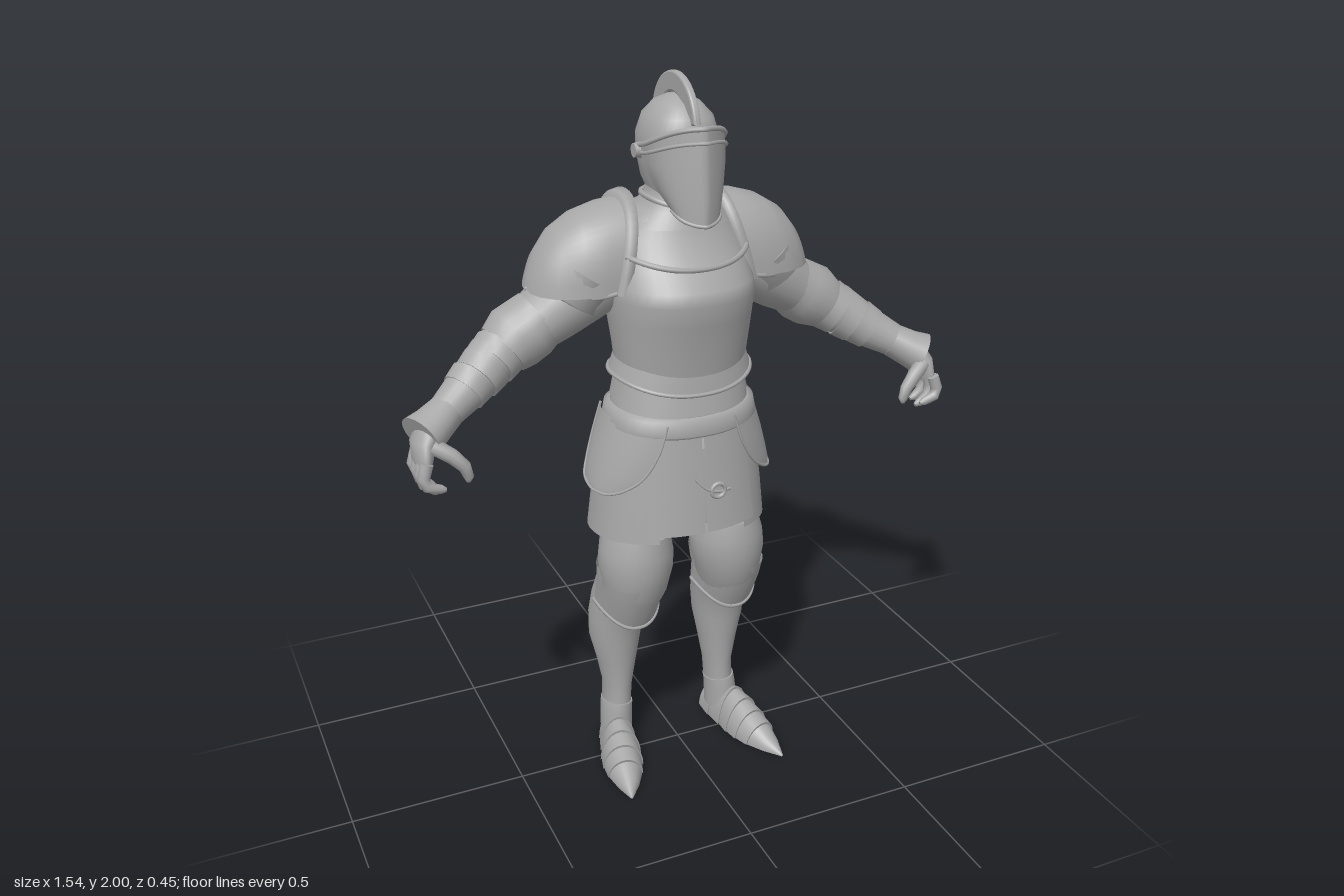
import * as THREE from 'three';

const steel = new THREE.MeshStandardMaterial({ color: 0xa8a8a8, side: THREE.DoubleSide });
steel.name = 'steel';
const V = (x, y, z) => new THREE.Vector3(x, y, z);
const rad = (d) => d * Math.PI / 180;
const pow = (v, p) => Math.sign(v) * Math.abs(v) ** p;

function add(group, name, geometry) {
  const mesh = new THREE.Mesh(geometry, steel);
  mesh.name = name;
  group.add(mesh);
  return mesh;
}

// Skin over rings of equal point count; closed rings wrap, caps get their own vertices.
function loft(rings, closed = true, cap = false) {
  const n = rings[0].length, pos = [], idx = [];
  rings.forEach((r) => r.forEach((p) => pos.push(p.x, p.y, p.z)));
  for (let i = 0; i < rings.length - 1; i++) {
    for (let j = 0; j < (closed ? n : n - 1); j++) {
      const k = (j + 1) % n, a = i * n + j, b = i * n + k;
      idx.push(a, b, b + n, a, b + n, a + n);
    }
  }
  if (cap) [rings[0], rings[rings.length - 1]].forEach((r, end) => {
    const s = pos.length / 3, c = V(0, 0, 0);
    r.forEach((p) => { c.addScaledVector(p, 1 / n); pos.push(p.x, p.y, p.z); });
    pos.push(c.x, c.y, c.z);
    for (let j = 0; j < n; j++) {
      const k = (j + 1) % n;
      if (end) idx.push(s + j, s + k, s + n); else idx.push(s + k, s + j, s + n);
    }
  });
  const g = new THREE.BufferGeometry();
  g.setAttribute('position', new THREE.Float32BufferAttribute(pos, 3));
  g.setIndex(idx);
  g.computeVertexNormals();
  return g;
}

// Horizontal oval ring; from/to in degrees (0 = front, 90 = left side), dip lowers the front.
function oval(y, rx, zf, zb, { cx = 0, dip = 0, from, to, p = 0.9 } = {}) {
  const open = from !== undefined, n = 40, pts = [];
  for (let i = 0; i < (open ? n + 1 : n); i++) {
    const t = open ? rad(from + (to - from) * i / n) : i / n * Math.PI * 2;
    const c = Math.cos(t);
    pts.push(V(cx + rx * pow(Math.sin(t), p), y - dip * Math.max(0, c) ** 2,
      (zf + zb) / 2 + (zf - zb) / 2 * pow(c, p)));
  }
  return pts;
}

// Tapering limb through [x, y, z, radius, radius along z].
function limb(rows, n = 20) {
  const rings = rows.map((r, i) => {
    const a = rows[Math.max(0, i - 1)], b = rows[Math.min(rows.length - 1, i + 1)];
    const T = V(b[0] - a[0], b[1] - a[1], b[2] - a[2]).normalize();
    const U = V(0, 0, 1).cross(T).normalize(), W = T.clone().cross(U);
    return Array.from({ length: n }, (_, j) => {
      const t = j / n * Math.PI * 2;
      return V(r[0], r[1], r[2]).addScaledVector(U, r[3] * Math.cos(t)).addScaledVector(W, (r[4] ?? r[3]) * Math.sin(t));
    });
  });
  return loft(rings, true, true);
}

const tube = (pts, r, closed = false) =>
  new THREE.TubeGeometry(new THREE.CatmullRomCurve3(pts, closed), 48, r, 6, closed);

function helmet(g) {
  add(g, 'helmetSkull', loft([oval(1.69, .07, .075, -.085), oval(1.74, .09, .09, -.108), oval(1.8, .1, .11, -.125),
    oval(1.85, .1, .115, -.125), oval(1.895, .086, .1, -.108), oval(1.928, .056, .063, -.075),
    oval(1.943, .025, .022, -.036), oval(1.946, .002, 0, -.01)]));
  // Keeled visor hinged at the temples
  const row = (w, z0, zk, ys, yk) => Array.from({ length: 25 }, (_, i) => {
    const u = (i / 12 - 1) * Math.PI / 2, c = Math.abs(Math.cos(u));
    return V(w * Math.sin(u), ys + (yk - ys) * c, z0 + (zk - z0) * c ** .8 * (1 - .12 * Math.abs(Math.sin(2 * u))));
  });
  const top = row(.106, .0, .168, 1.825, 1.885);
  const low = row(.062, .1, .182, 1.675, 1.645);
  add(g, 'visor', loft([low, row(.085, .05, .182, 1.725, 1.715), row(.103, .015, .174, 1.78, 1.8), top], false));
  add(g, 'visorBrow', tube(top, .007));
  add(g, 'visorLowerEdge', tube(low, .005));
  add(g, 'eyeSlitLip', tube(row(.106, .005, .18, 1.805, 1.852), .005));
  for (const s of [1, -1]) {
    const pin = add(g, 'visorPivot', new THREE.CylinderGeometry(.018, .021, .022, 16));
    pin.rotation.z = -s * Math.PI / 2;
    pin.position.set(s * .108, 1.81, -.008);
  }
  // Tall comb over the skull
  const arc = new THREE.Shape();
  arc.absarc(0, 0, .132, .2, 3.85, false);
  arc.absarc(0, 0, .09, 3.85, .2, true);
  const comb = new THREE.ExtrudeGeometry(arc, { depth: .008, bevelSize: .005, bevelThickness: .006, bevelSegments: 2, curveSegments: 32 });
  comb.translate(0, 0, -.004).rotateY(-Math.PI / 2).translate(0, 1.863, -.012);
  add(g, 'helmetComb', comb);
}

function body(g) {
  add(g, 'gorget', loft([oval(1.62, .15, .1, -.17), oval(1.66, .11, .082, -.13), oval(1.69, .083, .068, -.095), oval(1.72, .08, .066, -.085)]));
  add(g, 'gorgetRim', tube(oval(1.692, .088, .072, -.1, { dip: .02 }), .008, true));
  add(g, 'cuirass', loft([oval(1.235, .178, .158, -.135), oval(1.3, .185, .167, -.14), oval(1.38, .194, .182, -.165),
    oval(1.44, .2, .197, -.19), oval(1.475, .2, .188, -.205), oval(1.53, .195, .142, -.222), oval(1.59, .18, .1, -.215),
    oval(1.64, .14, .085, -.17), oval(1.67, .1, .075, -.12)]));
  add(g, 'necklineTrim', tube(oval(1.565, .19, .155, -.215, { from: -62, to: 62, dip: .037 }), .008));
  add(g, 'backNecklineTrim', tube(oval(1.6, .17, .1, -.215, { from: 120, to: 240 }), .006));
  // Flared waist plates
  const flare = oval(1.225, .195, .168, -.15, { dip: .035 });
  add(g, 'waistFlange', loft([flare, oval(1.27, .18, .162, -.138, { dip: .03 })]));
  add(g, 'waistFlangeTrim', tube(flare, .006, true));
  [[1.15, .185, .15], [1.11, .19, .152]].forEach(([y, w, z]) =>
    add(g, 'waistLame', loft([oval(y, w + .006, z + .004, -.146, { dip: -.015 }), oval(y + .09, w - .012, z - .01, -.132, { dip: .01 })])));
  add(g, 'belt', loft([oval(1.08, .208, .168, -.155, { dip: .012 }), oval(1.088, .216, .175, -.162, { dip: .012 }),
    oval(1.128, .208, .17, -.158, { dip: .012 }), oval(1.135, .19, .155, -.145, { dip: .012 })]));
}

function skirt(g) {
  const rows = (from, to, o, lift = 0) => [[.755, .253, .19, -.225], [.88, .24, .18, -.203], [1, .222, .167, -.178], [1.11, .2, .155, -.148]]
    .map(([y, x, f, b], i) => oval(y + (i ? 0 : lift), x + o, f + o, b - o, { from, to }));
  const slope = (r) => { r[0].forEach((p) => { p.y += .1 * p.z; }); return r; };
  add(g, 'skirt', loft(slope(rows(28, 332, 0)), false));
  add(g, 'frontTassetLeft', loft(rows(.5, 36, .006, .04), false));
  add(g, 'frontTassetRight', loft(rows(-36, -.5, .006, .04), false));
  // Rounded hip plates
  for (const s of [1, -1]) {
    const lobe = [[.905, .268, .17, 66, 84], [.92, .267, .17, 52, 100], [.96, .257, .175, 38, 110], [1.03, .238, .175, 29, 115], [1.11, .212, .17, 25, 115]]
      .map(([y, x, f, a, b]) => oval(y, x, f, -f - .01, s > 0 ? { from: a, to: b } : { from: -b, to: -a }));
    add(g, s > 0 ? 'hipPlateLeft' : 'hipPlateRight', loft(lobe, false));
    const edge = [...lobe.slice(1).reverse().map((r) => r[0]), ...lobe[0].filter((_, i) => i % 10 === 0), ...lobe.slice(1).map((r) => r[40])];
    add(g, 'hipPlateTrim', tube(edge, .004));
  }
  // Ring and cord on the front
  const ring = add(g, 'frontRing', new THREE.TorusGeometry(.02, .006, 8, 20));
  ring.position.set(.035, .915, .192);
  add(g, 'frontCord', tube([V(-.03, .955, .184), V(0, .925, .192), V(.035, .912, .194), V(.075, .91, .184)], .004));
}

function arm(g) {
  // Shoulder dome made of arches shrinking outwards
  const arch = (x, rz, h, grow = 0) => Array.from({ length: 25 }, (_, i) => {
    const t = i / 24 * Math.PI, s = Math.sin(t) ** .85;
    return V(x - .055 * s * h / .225, 1.46 + (h + grow) * s, -.07 + (rz + grow) * pow(Math.cos(t), .85));
  });
  const shell = [[.18, .138, .22], [.24, .142, .213], [.305, .132, .193], [.355, .108, .158], [.385, .075, .108], [.398, .035, .05], [.4, .004, .004]];
  add(g, 'pauldron', loft(shell.map((r) => arch(...r)), false));
  const rim = [arch(.2, .14, .218), arch(.193, .145, .225, .01), arch(.172, .146, .228, .012), arch(.165, .138, .222)];
  add(g, 'pauldronRim', loft(rim.reverse(), false));
  add(g, 'pauldronLame', limb([[.255, 1.5, -.065, .11, .135], [.3, 1.435, -.065, .105, .118], [.305, 1.428, -.065, .09, .1]], 28));
  add(g, 'upperArm', limb([[.17, 1.5, -.06, .1, .11], [.27, 1.45, -.06, .1, .11], [.34, 1.4, -.06, .088, .095], [.41, 1.355, -.058, .073, .08]]));
  const hem = Array.from({ length: 9 }, (_, i) => V(.2 + .025 * i, 1.465 - .012 * Math.sin(i / 8 * Math.PI), -.07 + .14 * Math.cos(i / 8 * Math.PI / 2)));
  add(g, 'pauldronHem', tube(hem, .006));
  // Elbow guard
  add(g, 'elbowGuard', limb([[.365, 1.39, -.06, .08, .088], [.4, 1.362, -.06, .088, .092], [.44, 1.34, -.058, .09, .092], [.475, 1.315, -.05, .076, .08]]));
  const point = add(g, 'elbowPoint', new THREE.ConeGeometry(.05, .05, 12));
  point.position.set(.395, 1.29, -.06);
  point.rotation.z = Math.PI - .45;
  const disc = add(g, 'elbowFan', new THREE.SphereGeometry(.055, 16, 10));
  disc.scale.set(1, 1, .35);
  disc.position.set(.43, 1.35, -.145);
  // Forearm with overlapping bands and a flared cuff
  add(g, 'forearm', limb([[.45, 1.335, -.055, .07], [.51, 1.3, -.035, .07], [.58, 1.25, -.005, .06], [.66, 1.205, .04, .047], [.71, 1.175, .065, .045]]));
  [[.5, 1.302, -.036, .075], [.545, 1.272, -.018, .07], [.585, 1.248, -.002, .065]].forEach(([x, y, z, r]) =>
    add(g, 'forearmBand', limb([[x - .017, y + .012, z - .01, r], [x + .017, y - .012, z + .008, r - .005]])));
  add(g, 'cuff', limb([[.655, 1.207, .037, .047, .05], [.7, 1.182, .058, .052, .06], [.735, 1.165, .075, .06, .066]]));
  // Gauntlet
  add(g, 'palm', limb([[.71, 1.18, .065, .032, .05], [.733, 1.145, .075, .03, .058], [.738, 1.105, .082, .024, .06], [.736, 1.09, .084, .018, .055]]));
  [[.032, 1.045], [.068, 1.027], [.104, 1.022], [.138, 1.04]].forEach(([z, y], i) =>
    add(g, 'finger', limb([[.74, 1.115, z, .017], [.752, 1.08, z + .004, .017], [.745, (1.08 + y) / 2 - .004, z + .006, .015],
      [.728 - i * .006, y + .004, z + .007, .012], [.716 - i * .006, y, z + .007, .006]], 10)));
  add(g, 'thumb', limb([[.715, 1.15, .115, .022], [.675, 1.125, .138, .02], [.647, 1.095, .146, .017], [.638, 1.065, .146, .013], [.64, 1.052, .144, .006]], 10));
}

function leg(g) {
  add(g, 'thigh', limb([[.115, .98, -.02, .1, .11], [.13, .8, -.005, .092, .108], [.14, .7, .0, .092, .11], [.148, .58, -.02, .085, .095]], 28));
  // Knee guard
  add(g, 'kneeGuard', limb([[.138, .745, .02, .094, .11], [.14, .7, .026, .104, .114], [.143, .655, .026, .106, .114], [.146, .6, .022, .094, .108], [.15, .555, .0, .086, .1]], 28));
  const o = { cx: .154, from: -100, to: 100 };
  const hem = oval(.515, .09, .075, -.13, { ...o, dip: .05 });
  add(g, 'kneeLowerPlate', loft([hem, oval(.57, .092, .115, -.12, { ...o, dip: .02 }), oval(.61, .096, .13, -.11, o)], false));
  add(g, 'kneeLowerTrim', tube(hem, .006));
  add(g, 'kneeStrap', loft([oval(.585, .09, .1, -.114, { cx: .148 }), oval(.63, .094, .11, -.116, { cx: .145 })]));
  // Greave
  add(g, 'greave', limb([[.15, .58, -.03, .082, .085], [.16, .5, -.06, .083, .083], [.166, .43, -.08, .08, .085], [.168, .37, -.084, .076, .081],
    [.166, .29, -.08, .059, .068], [.166, .2, -.078, .042, .058], [.17, .13, -.076, .041, .058]], 28));
  add(g, 'ankle', limb([[.17, .14, -.074, .045, .062], [.173, .115, -.07, .046, .062], [.175, .04, -.068, .046, .06]]));
  // Pointed shoe of overlapping plates
  const foot = new THREE.Group();
  foot.name = 'foot';
  foot.position.set(.178, 0, -.07);
  foot.rotation.y = .22;
  const ring = ([z, w, h], k = 1) => Array.from({ length: 24 }, (_, j) => {
    const t = j / 24 * Math.PI * 2;
    return V(w * k * Math.cos(t), Math.max(0, h * k * Math.sin(t)), z + .012 * (k > 1 ? Math.sin(t) : 0));
  });
  const plates = [[-.062, .036, .06], [0, .048, .1], [.06, .052, .115], [.105, .058, .1], [.15, .057, .08], [.195, .049, .06], [.25, .03, .033], [.303, .003, .004]];
  for (let i = 0; i < 5; i++) add(foot, 'footPlate', loft([ring(plates[i]), ring(plates[i + 1], 1.06)], true, true));
  add(foot, 'toeCap', loft(plates.slice(5).map((r) => ring(r)), true, true));
  g.add(foot);
}

export function createModel() {
  const model = new THREE.Group();
  model.name = 'armouredKnight';
  for (const [name, build] of [['helmet', helmet], ['body', body], ['skirtArmour', skirt]]) {
    const g = new THREE.Group();
    g.name = name;
    build(g);
    model.add(g);
  }
  // Limbs are built on the left and mirrored to the right
  for (const s of [1, -1]) {
    for (const [name, build] of [['Arm', arm], ['Leg', leg]]) {
      const g = new THREE.Group();
      g.name = (s > 0 ? 'left' : 'right') + name;
      build(g);
      g.scale.x = s;
      model.add(g);
    }
  }
  return model;
}
